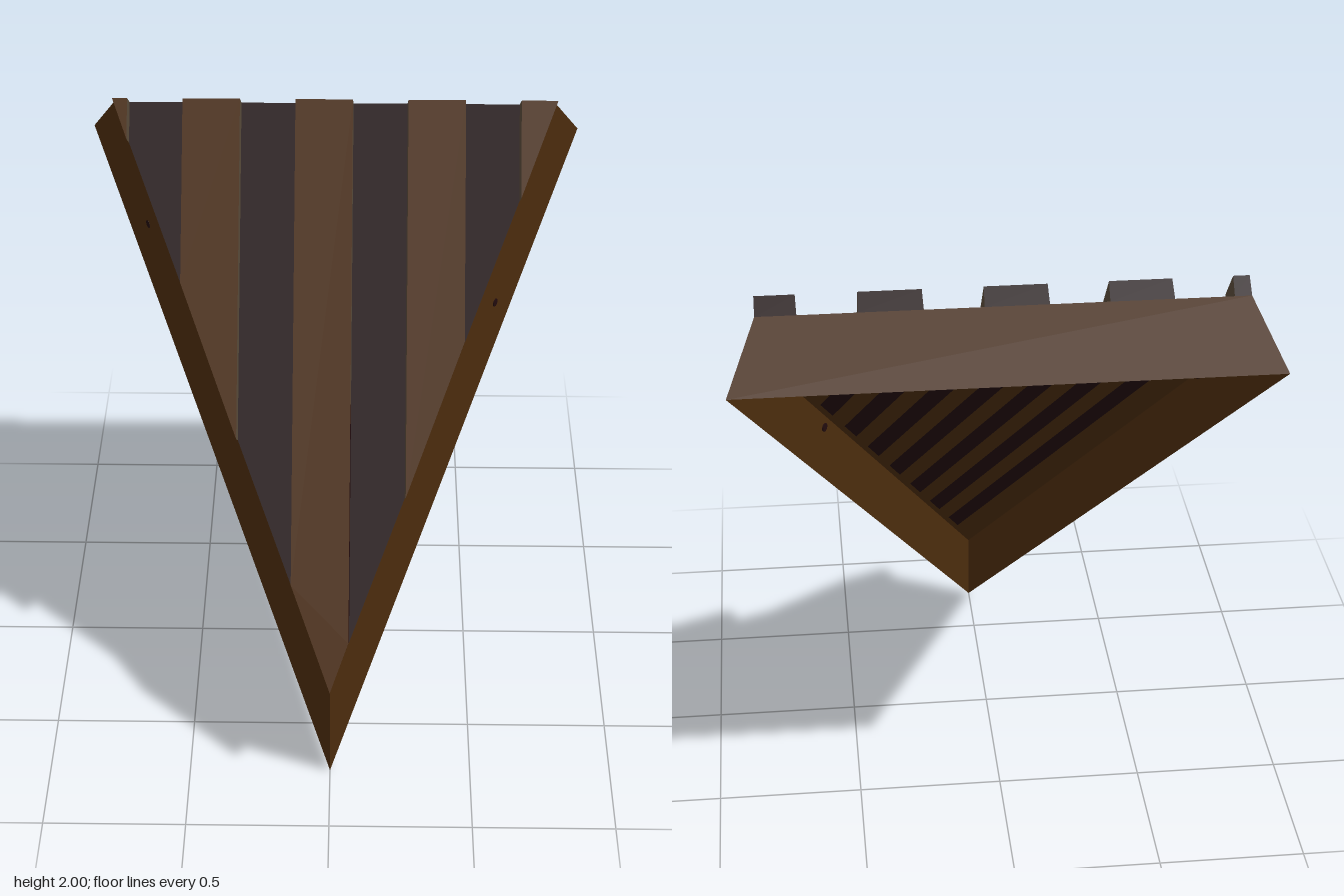
import * as THREE from 'three';

const paint = (name, color) => {
  const m = new THREE.MeshStandardMaterial({ color, side: THREE.DoubleSide });
  m.name = name;
  return m;
};

// Flat convex face, drawn as a fan from its first corner
function face(parent, name, points, material) {
  const pos = [];
  for (let i = 1; i < points.length - 1; i++) pos.push(...points[0], ...points[i], ...points[i + 1]);
  const g = new THREE.BufferGeometry();
  g.setAttribute('position', new THREE.Float32BufferAttribute(pos, 3));
  g.computeVertexNormals();
  const mesh = new THREE.Mesh(g, material);
  mesh.name = name;
  parent.add(mesh);
}

export function createModel() {
  const wood = paint('brown wood', 0x4b2c0d);
  const dark = paint('dark red brown', 0x210b0d);
  const grey = paint('grey brown edge', 0x564939);
  const model = new THREE.Group();
  model.name = 'slopedRoofPanel';

  // Upright side walls meeting at the front tip
  for (const s of [1, -1]) {
    const pts = [[0, 0, 0.735], [s * 0.878, 1.76, -0.783], [s * 0.78, 1.954, -0.613], [0, 0.39, 0.735]];
    if (s < 0) pts.reverse();
    face(model, s > 0 ? 'leftWall' : 'rightWall', pts, wood);
  }

  // Small knots: one through the left wall, one on the inside of the right wall
  for (const [name, x, y, z, turn] of [
    ['leftWallKnot', 0.573, 1.355, -0.256, Math.PI / 3],
    ['rightWallKnot', -0.66, 1.575, -0.412, -Math.PI / 3],
  ]) {
    const knot = new THREE.Mesh(new THREE.CylinderGeometry(0.015, 0.015, 0.008, 10).rotateX(Math.PI / 2), dark);
    knot.name = name;
    knot.position.set(x, y, z);
    knot.rotation.y = turn;
    model.add(knot);
  }

  // Back wall along the wide end
  face(model, 'backWall', [[0.878, 1.76, -0.783], [-0.878, 1.76, -0.783], [-0.78, 1.954, -0.613], [0.78, 1.954, -0.613]], wood);

  // Tilted frame for the roof: x across, y up the slope, z out of the slope
  const roof = new THREE.Group();
  roof.name = 'roof';
  const up = new THREE.Vector3(0, 1.564, -1.348);
  const L = up.length(), W = 0.78, k = L / W;
  up.normalize();
  const across = new THREE.Vector3(1, 0, 0);
  const out = across.clone().cross(up);
  roof.quaternion.setFromRotationMatrix(new THREE.Matrix4().makeBasis(across, up, out));
  roof.position.set(0, 0.39, 0.735);
  model.add(roof);

  face(roof, 'roofSheet', [[0, 0, 0], [W, L, 0], [-W, L, 0]], dark);

  // Underside, set lower between the walls
  const depth = -0.089, tip = [0, -0.103], halfBack = 0.814, back = 2.052;
  face(roof, 'roofUnderside', [[...tip, depth], [-halfBack, back, depth], [halfBack, back, depth]], wood);

  // Dark stripes under the roof, running parallel to the right wall
  const edgeLength = Math.hypot(halfBack, back - tip[1]), margin = 0.04;
  const stripeLine = (s) => {
    const a = [halfBack * s, tip[1] + (back - tip[1]) * s];
    const b = [halfBack * (2 * s - 1), back];
    const m = margin / (edgeLength * (1 - s));
    const at = (t) => [a[0] + (b[0] - a[0]) * t, a[1] + (b[1] - a[1]) * t, depth - 0.004];
    return [at(m), at(1 - m)];
  };
  for (let i = 0; i < 9; i++) {
    const s = 0.085 + i * 0.1;
    const [a, b] = stripeLine(s), [c, d] = stripeLine(s + 0.05);
    face(roof, 'undersideStripe', [a, b, d, c], dark);
  }

  // Raised boards, trimmed by the triangle's slanting edges
  const H = 0.07, taper = 0.002, split = 1.0;
  for (const [a, b] of [[-W, -0.725], [-0.535, -0.33], [-0.14, 0.065], [0.255, 0.46], [0.65, W]]) {
    const ring = [[a, Math.abs(a) * k]];
    if (a < 0 && b > 0) ring.push([0, 0]);
    ring.push([b, Math.abs(b) * k]);
    if (b < W) ring.push([b, L]);
    if (a > -W) ring.push([a, L]);
    const base = ([x, v]) => [x, v, 0];
    const top = ([x, v]) => [x === a && a > -W ? x + taper : x === b && b < W ? x - taper : x, v, H];
    const board = new THREE.Group();
    board.name = 'raisedBoard';
    roof.add(board);
    face(board, 'boardTop', ring.map(top), wood);

    const edge = (name, p, q, mat) => face(board, name, [base(p), base(q), top(q), top(p)], mat);
    ring.forEach((p, i) => {
      const q = ring[(i + 1) % ring.length];
      if (p[0] === q[0]) {
        // Long side: the middle board is dark near the tip, grey further up
        if (Math.min(p[1], q[1]) < 0.5) {
          const mid = [p[0], split];
          edge('boardSide', p, mid, p[1] < split ? dark : grey);
          edge('boardSide', mid, q, q[1] < split ? dark : grey);
        } else edge('boardSide', p, q, grey);
      } else if (p[1] > L - 0.001 && q[1] > L - 0.001) edge('boardBackEnd', p, q, dark);
      else edge('boardCutEnd', p, q, wood);
    });
  }
  return model;
}
